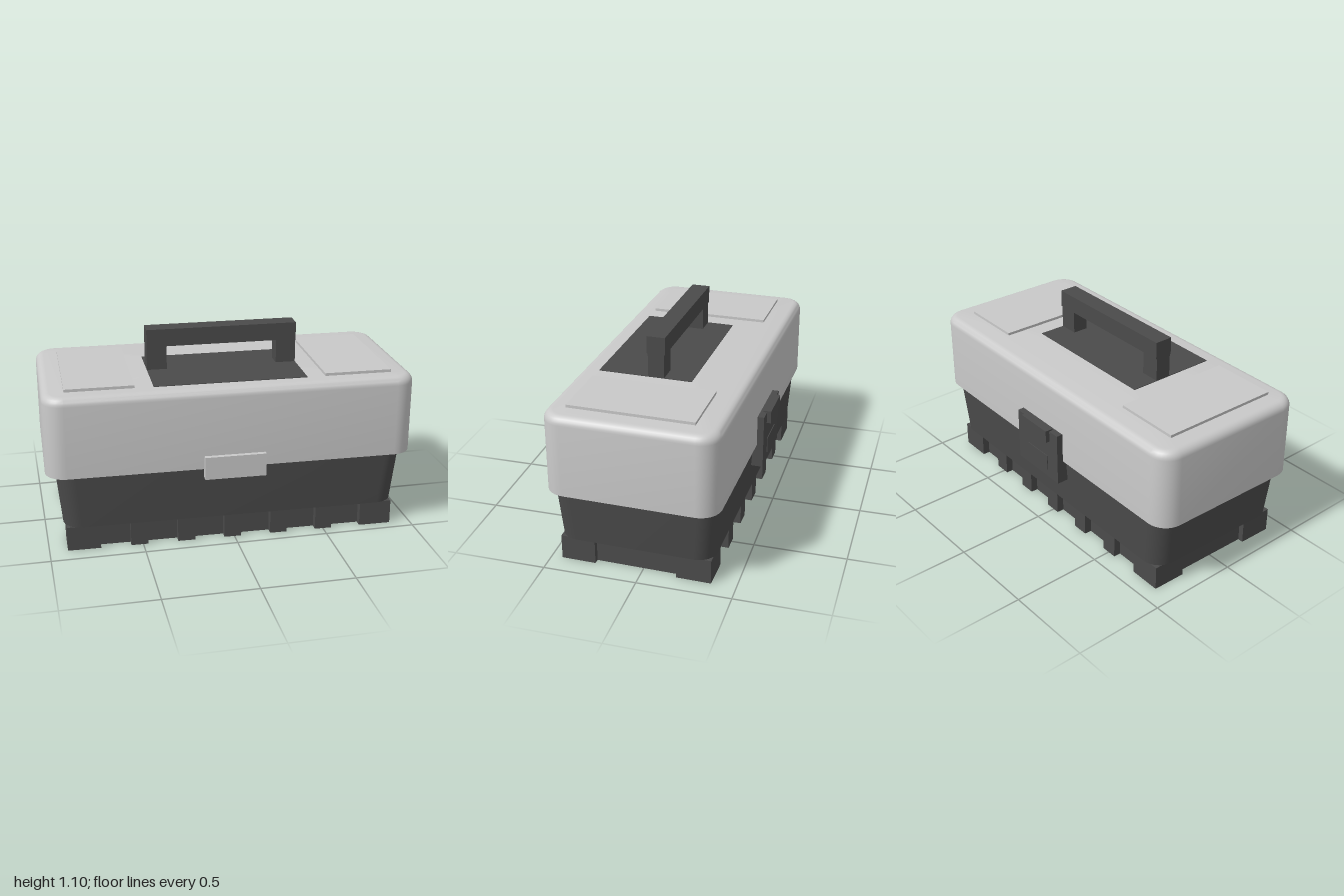
import * as THREE from 'three';
import { toCreasedNormals } from 'three/addons/utils/BufferGeometryUtils.js';

const lightGrey = new THREE.MeshStandardMaterial({ color: 0xc9c9c9 });
lightGrey.name = 'lightGreyPlastic';
const darkGrey = new THREE.MeshStandardMaterial({ color: 0x4b4b4b });
darkGrey.name = 'darkGreyPlastic';

// Closed solid through rounded-rectangle rings: [halfWidth, halfDepth, cornerRadius, y]
function loft(rings) {
  const steps = 8, pos = [], index = [], n = 4 * (steps + 1);
  for (const [w, d, r, y] of rings) {
    for (let q = 0; q < 4; q++) {
      const sx = q === 0 || q === 3 ? 1 : -1, sz = q < 2 ? 1 : -1;
      for (let s = 0; s <= steps; s++) {
        const a = (q + s / steps) * Math.PI / 2;
        pos.push(sx * (w - r) + r * Math.cos(a), y, sz * (d - r) + r * Math.sin(a));
      }
    }
  }
  for (let i = 0; i < rings.length - 1; i++) {
    for (let j = 0; j < n; j++) {
      const a = i * n + j, b = i * n + (j + 1) % n;
      index.push(a, a + n, b, b, a + n, b + n);
    }
  }
  const bottom = pos.length / 3, top = bottom + 1, last = (rings.length - 1) * n;
  pos.push(0, rings[0][3], 0, 0, rings[rings.length - 1][3], 0);
  for (let j = 0; j < n; j++) {
    const k = (j + 1) % n;
    index.push(bottom, j, k, top, last + k, last + j);
  }
  const g = new THREE.BufferGeometry();
  g.setAttribute('position', new THREE.Float32BufferAttribute(pos, 3));
  g.setIndex(index);
  return toCreasedNormals(g, 0.6);
}

// Base outline with recesses along each side
function baseGeometry() {
  const w = 0.895, d = 0.405, cut = 0.04, endCut = 0.03, half = 0.081, endHalf = 0.22;
  const front = [[-w, -d]];
  for (let k = -2.5; k <= 2.5; k++) {
    const c = k * 0.255;
    front.push([c - half, -d], [c - half, -d + cut], [c + half, -d + cut], [c + half, -d]);
  }
  front.push([w, -d], [w, -endHalf], [w - endCut, -endHalf], [w - endCut, endHalf], [w, endHalf]);
  const outline = [...front, ...front.map(([x, z]) => [-x, -z])];
  const shape = new THREE.Shape(outline.map(([x, z]) => new THREE.Vector2(x, z)));
  const g = new THREE.ExtrudeGeometry(shape, { depth: 0.135, bevelEnabled: false });
  return g.rotateX(-Math.PI / 2);
}

export function createModel() {
  const model = new THREE.Group();
  model.name = 'toolbox';

  function add(name, geometry, material) {
    const mesh = new THREE.Mesh(geometry, material);
    mesh.name = name;
    model.add(mesh);
    return mesh;
  }
  // Box given by its limits on each axis
  function box(name, material, x0, x1, y0, y1, z0, z1) {
    const mesh = add(name, new THREE.BoxGeometry(x1 - x0, y1 - y0, z1 - z0), material);
    mesh.position.set((x0 + x1) / 2, (y0 + y1) / 2, (z0 + z1) / 2);
  }

  // Notched base and tapered lower body
  add('base', baseGeometry(), darkGrey);
  add('body', loft([[0.908, 0.415, 0.1, 0.135], [0.937, 0.435, 0.1, 0.436]]), darkGrey);

  // Lid with a rounded top edge
  const lidRings = [[0.99, 0.455, 0.11, 0.435]], edge = 0.045;
  for (let i = 0; i <= 6; i++) {
    const a = i / 6 * Math.PI / 2, inset = edge * (1 - Math.cos(a));
    lidRings.push([0.99 - inset, 0.455 - inset, 0.11 - inset, 0.873 - edge * (1 - Math.sin(a))]);
  }
  add('lid', loft(lidRings), lightGrey);

  // Raised lid panels and handle legs, mirrored
  for (const [side, s] of [['left', 1], ['right', -1]]) {
    box(side + 'LidPanel', lightGrey, s * 0.69 - 0.182, s * 0.69 + 0.182, 0.868, 0.888, -0.315, 0.351);
    box(side + 'HandleLeg', darkGrey, s * 0.356 - 0.054, s * 0.356 + 0.054, 0.87, 1.006, -0.006, 0.082);
  }

  // Handle bar and the plate under it
  box('handlePlate', darkGrey, -0.41, 0.41, 0.87, 0.876, -0.155, 0.354);
  box('handleBar', darkGrey, -0.41, 0.41, 1.005, 1.1, -0.012, 0.088);

  // Front catch
  box('frontCatch', lightGrey, -0.164, 0.164, 0.383, 0.508, 0.42, 0.48);

  // Rear latch with its grip and lower tab
  box('rearLatch', darkGrey, -0.178, 0.178, 0.305, 0.605, -0.491, -0.41);
  box('rearLatchGrip', darkGrey, -0.11, 0.11, 0.542, 0.613, -0.514, -0.47);
  box('rearLatchTab', darkGrey, -0.088, 0.088, 0.35, 0.44, -0.495, -0.488);

  // The whole box is turned very slightly
  model.rotation.y = -0.0225;
  model.position.z = 0.016;
  const root = new THREE.Group();
  root.name = 'toolboxRoot';
  root.add(model);
  return root;
}
